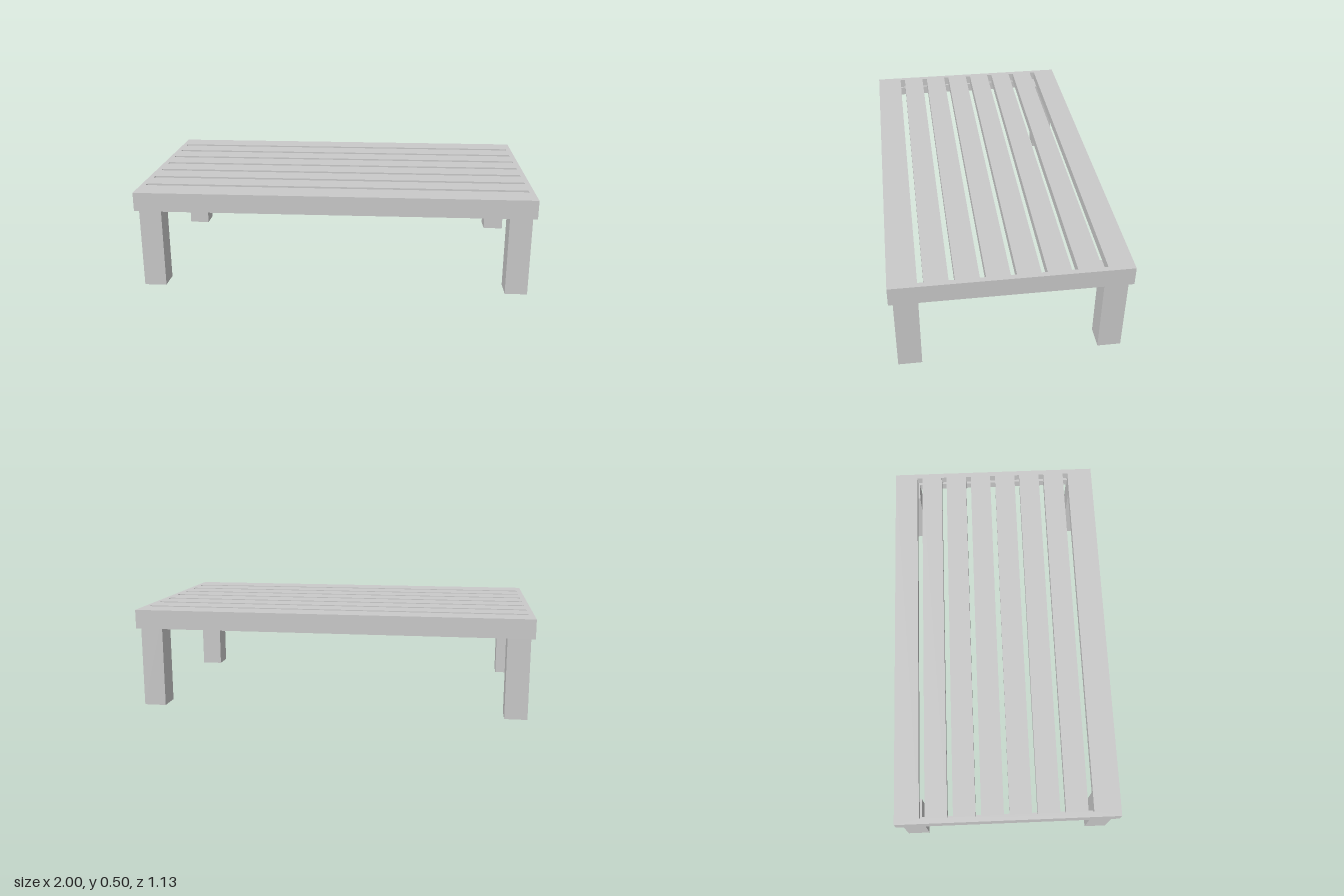
import * as THREE from 'three';

const W = 1, D = 0.566;              // half width and half depth
const TOP = 0.504, SEAT = 0.456, LOW = 0.408; // slab top, slab underside, apron underside

// Counter-clockwise rectangle in plan, usable as a shape or a hole
function rect(Type, x0, z0, x1, z1) {
  const r = new Type();
  r.moveTo(x0, -z1);
  r.lineTo(x1, -z1);
  r.lineTo(x1, -z0);
  r.lineTo(x0, -z0);
  r.closePath();
  return r;
}

// Horizontal plate with rectangular holes, between two heights
function plate(name, holes, y0, y1, material) {
  const shape = rect(THREE.Shape, -W, -D, W, D);
  shape.holes = holes.map((h) => rect(THREE.Path, ...h));
  const geometry = new THREE.ExtrudeGeometry(shape, { depth: y1 - y0, bevelEnabled: false });
  geometry.rotateX(-Math.PI / 2);
  geometry.translate(0, y0, 0);
  const mesh = new THREE.Mesh(geometry, material);
  mesh.name = name;
  return mesh;
}

export function createModel() {
  const group = new THREE.Group();
  group.name = 'slattedTable';
  const grey = new THREE.MeshStandardMaterial({ color: 0xcacaca });
  grey.name = 'grey';

  // Top with seven long slots, set slightly towards the back
  const slots = [];
  for (let i = -3; i <= 3; i++) {
    const z = -0.006 + i * 0.1405;
    slots.push([-0.973, z - 0.014, 0.973, z + 0.014]);
  }
  group.add(plate('slattedTop', slots, SEAT, TOP, grey));

  // Apron frame below the top
  group.add(plate('apron', [[-0.96, -D + 0.04, 0.96, D - 0.04]], LOW, SEAT, grey));

  // Four legs, reaching up to the underside of the top
  const legGeometry = new THREE.BoxGeometry(0.112, SEAT, 0.115);
  for (const sx of [-1, 1]) {
    for (const sz of [-1, 1]) {
      const leg = new THREE.Mesh(legGeometry, grey);
      leg.name = (sz > 0 ? 'front' : 'back') + (sx > 0 ? 'Left' : 'Right') + 'Leg';
      leg.position.set(sx * 0.925, SEAT / 2, sz * 0.488);
      group.add(leg);
    }
  }
  return group;
}
